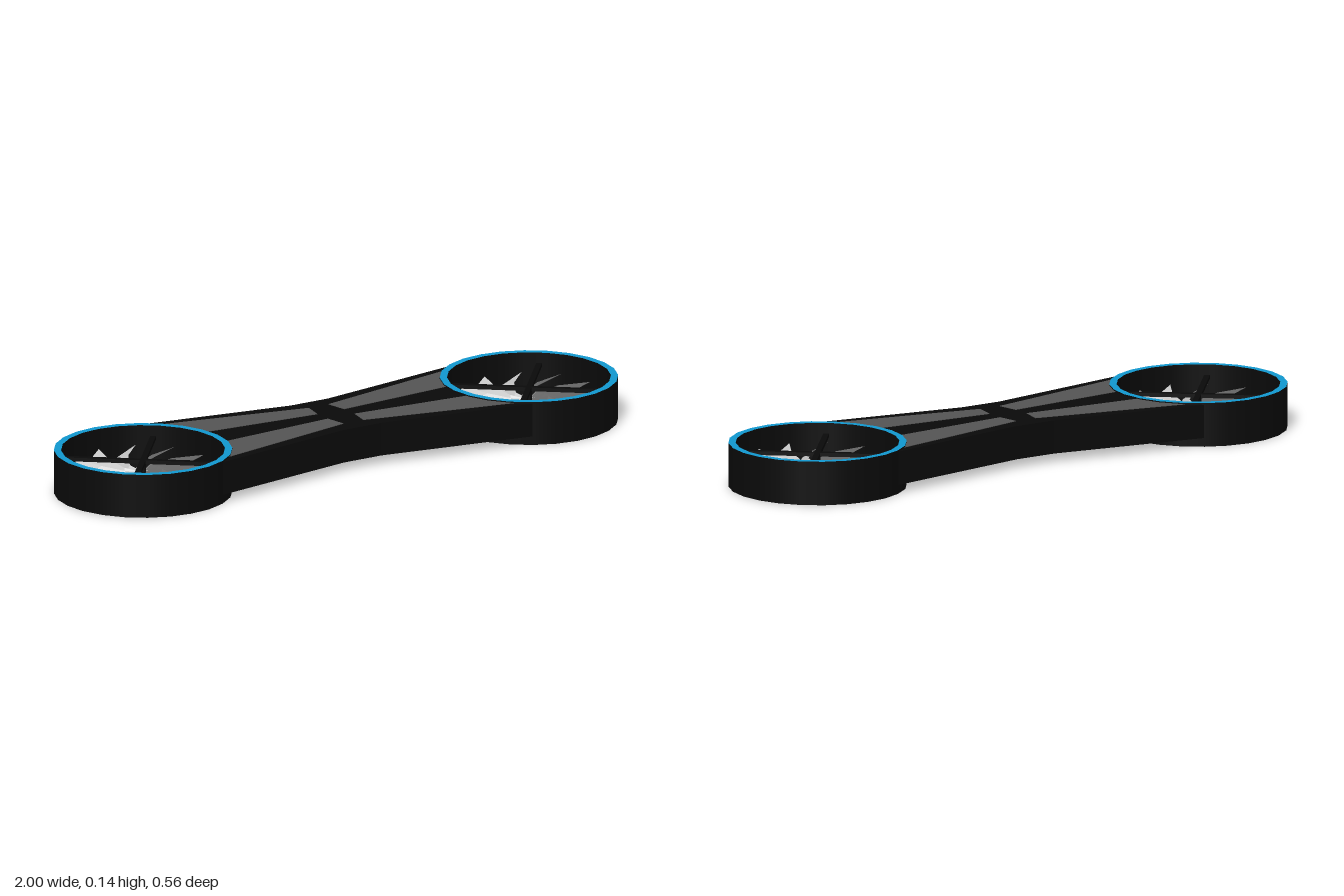
import * as THREE from 'three';

const mat = (color, extra = {}) => new THREE.MeshStandardMaterial({ color, ...extra });
const black = mat(0x0a0a0a, { side: THREE.DoubleSide });
const blue = mat(0x1199d0, { side: THREE.DoubleSide });
const panelGrey = mat(0x555555);
const bladeGrey = mat(0xcccccc, { side: THREE.DoubleSide, flatShading: true });

const CX = 0.72, R = 0.28, RIN = 0.257, H = 0.14, SIDES = 24;
const rad = THREE.MathUtils.degToRad;

function add(parent, name, geometry, material) {
  const mesh = new THREE.Mesh(geometry, material);
  mesh.name = name;
  parent.add(mesh);
  return mesh;
}

// Flat plan outline (x, z) given thickness between two heights
function slab(points, y0, y1) {
  const shape = new THREE.Shape(points.map(([x, z]) => new THREE.Vector2(x, z)));
  const g = new THREE.ExtrudeGeometry(shape, { depth: y1 - y0, bevelEnabled: false });
  return g.rotateX(Math.PI / 2).translate(0, y1, 0);
}

// Points along the inward side of a ring; side is +1 or -1
function ringArc(side, from, to, r, n = 8) {
  return Array.from({ length: n + 1 }, (_, i) => {
    const a = rad(from + (to - from) * i / n);
    return [side * (CX - r * Math.cos(a)), r * Math.sin(a)];
  });
}

// Swept, pitched blade: each section is [radius, trailing angle, leading angle, half rise]
function bladeGeometry() {
  const sections = [[0.012, -45, -10, 0.004], [0.06, -32, -10, 0.012], [0.13, -8, 12, 0.02], [0.222, 5, 27, 0.025]];
  const pos = [], index = [];
  sections.forEach(([r, a, b, rise], i) => {
    pos.push(r * Math.cos(rad(a)), -rise, r * Math.sin(rad(a)));
    pos.push(r * Math.cos(rad(b)), rise, r * Math.sin(rad(b)));
    if (i) {
      const k = 2 * i;
      index.push(k - 2, k - 1, k, k - 1, k + 1, k);
    }
  });
  const g = new THREE.BufferGeometry();
  g.setAttribute('position', new THREE.Float32BufferAttribute(pos, 3));
  g.setIndex(index);
  g.computeVertexNormals();
  return g;
}

function fanUnit(name) {
  const unit = new THREE.Group();
  unit.name = name;

  // Duct walls
  for (const [part, r] of [['outerWall', R], ['innerWall', RIN]])
    add(unit, part, new THREE.CylinderGeometry(r, r, H, SIDES, 1, true), black).position.y = H / 2;

  // Coloured rims on both ends
  for (const [part, y, turn] of [['topRim', H, -1], ['bottomRim', 0, 1]]) {
    const rim = add(unit, part, new THREE.RingGeometry(RIN, R, SIDES), blue);
    rim.rotation.x = turn * Math.PI / 2;
    rim.position.y = y;
  }

  // Crossed struts and the shaft that carries the rotor
  for (const angle of [-40, 50]) {
    const strut = add(unit, 'strut', new THREE.BoxGeometry(2 * RIN, 0.012, 0.018), black);
    strut.position.y = 0.1;
    strut.rotation.y = rad(angle);
  }
  add(unit, 'shaft', new THREE.CylinderGeometry(0.01, 0.01, 0.07, 12), black).position.y = 0.065;

  // Rotor
  const rotor = new THREE.Group();
  rotor.name = 'rotor';
  rotor.position.y = 0.062;
  unit.add(rotor);
  const blade = bladeGeometry(), count = 11;
  for (let i = 0; i < count; i++)
    add(rotor, 'blade', blade, bladeGrey).rotation.y = rad(90 - i * 360 / count);
  return unit;
}

export function createModel() {
  const model = new THREE.Group();
  model.name = 'twinFan';

  for (const side of [-1, 1]) {
    const unit = fanUnit(side > 0 ? 'leftFan' : 'rightFan');
    unit.position.x = side * CX;
    model.add(unit);
  }

  // Waisted bridge, its ends hollowed to fit the ducts
  const y0 = 0.028, y1 = 0.135;
  const outline = [
    ...ringArc(1, -64, 64, 0.272, 16), [0.07, 0.155], [-0.07, 0.155],
    ...ringArc(-1, 64, -64, 0.272, 16), [-0.07, -0.155], [0.07, -0.155],
  ];
  add(model, 'bridge', slab(outline, y0, y1), black);

  // Four inlaid panels, showing above and below
  for (const sx of [-1, 1]) for (const sz of [-1, 1]) {
    const points = [...ringArc(sx, 12.5, 49, 0.274), [sx * 0.037, 0.1], [sx * 0.05, 0.03]]
      .map(([x, z]) => [x, sz * z]);
    add(model, 'panel', slab(points, y0 - 0.0015, y1 + 0.0015), panelGrey);
  }
  return model;
}
